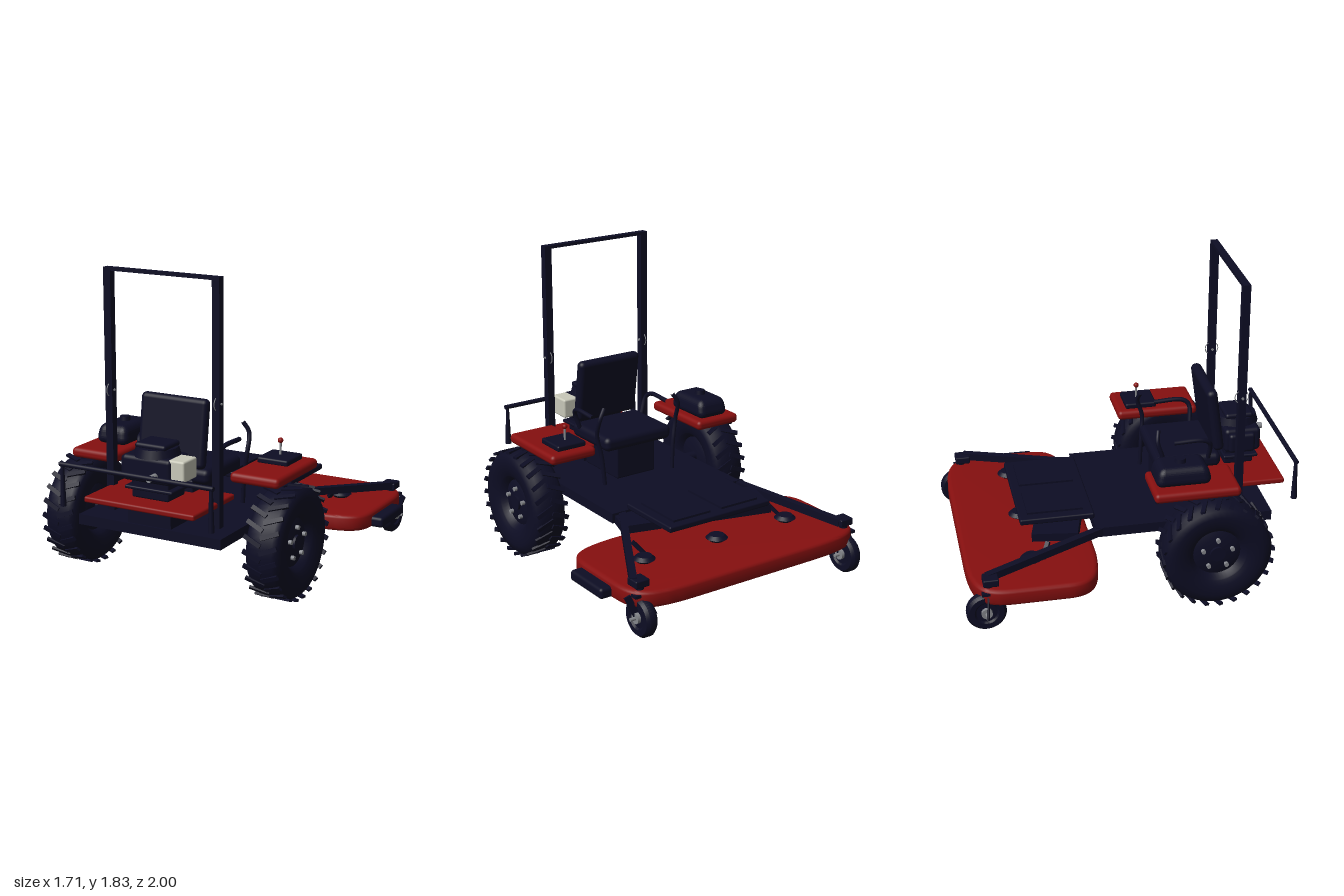
import * as THREE from 'three';
import { toCreasedNormals } from 'three/addons/utils/BufferGeometryUtils.js';
import { RoundedBoxGeometry } from 'three/addons/geometries/RoundedBoxGeometry.js';

const mat = (name, color) => {
  const m = new THREE.MeshStandardMaterial({ color });
  m.name = name;
  return m;
};
const V = (x, y, z) => new THREE.Vector3(x, y, z);

export function createModel() {
  const model = new THREE.Group();
  model.name = 'rideOnMower';
  const body = new THREE.Group();
  body.name = 'mowerBody';
  body.position.x = -0.035; // the side chute shifts the centre line
  model.add(body);

  const navy = mat('navy', 0x0d0d24), red = mat('red', 0x860f0f);
  const cream = mat('cream', 0xc9c9ba), steel = mat('steel', 0x85878c);

  const add = (name, geo, m, x = 0, y = 0, z = 0, parent = body) => {
    const mesh = new THREE.Mesh(geo, m);
    mesh.name = name;
    mesh.position.set(x, y, z);
    parent.add(mesh);
    return mesh;
  };
  // Box given by its limits, optionally with rounded edges
  const box = (name, m, x0, x1, y0, y1, z0, z1, r = 0) => {
    const s = [x1 - x0, y1 - y0, z1 - z0];
    const geo = r ? new RoundedBoxGeometry(...s, 3, r) : new THREE.BoxGeometry(...s);
    return add(name, geo, m, (x0 + x1) / 2, (y0 + y1) / 2, (z0 + z1) / 2);
  };
  const cyl = (name, m, r0, r1, h, x, y, z, axis = 'y', parent = body) => {
    const geo = new THREE.CylinderGeometry(r0, r1, h, 24);
    if (axis === 'x') geo.rotateZ(Math.PI / 2);
    if (axis === 'z') geo.rotateX(Math.PI / 2);
    return add(name, geo, m, x, y, z, parent);
  };
  const tube = (name, m, pts, r) =>
    add(name, new THREE.TubeGeometry(new THREE.CatmullRomCurve3(pts), 28, r, 10), m);
  // Straight rectangular bar between two points
  const beam = (name, m, a, b, w, h) => {
    const mesh = add(name, new THREE.BoxGeometry(w, h, a.distanceTo(b)), m);
    mesh.position.copy(a).add(b).multiplyScalar(0.5);
    mesh.lookAt(b);
    return mesh;
  };
  // Lathe profile of [radius, offset] pairs, turned about the x axis
  const wheelGeo = (pts) => toCreasedNormals(new THREE.LatheGeometry(
    pts.map(([r, t]) => new THREE.Vector2(r, t)), 48).rotateZ(-Math.PI / 2), 0.7);

  // Cutting deck
  const s = new THREE.Shape();
  s.moveTo(0.81, 0.42);
  s.lineTo(0.81, 0.72);
  s.bezierCurveTo(0.81, 0.92, 0.74, 0.975, 0.4, 0.975);
  s.lineTo(-0.4, 0.975);
  s.bezierCurveTo(-0.74, 0.975, -0.81, 0.92, -0.81, 0.72);
  s.lineTo(-0.81, 0.42);
  s.bezierCurveTo(-0.81, 0.25, -0.7, 0.22, -0.48, 0.205);
  s.lineTo(0.48, 0.205);
  s.bezierCurveTo(0.7, 0.22, 0.81, 0.25, 0.81, 0.42);
  const deckGeo = new THREE.ExtrudeGeometry(s, {
    depth: 0.06, bevelThickness: 0.02, bevelSize: 0.025, bevelOffset: -0.025, bevelSegments: 3, curveSegments: 16,
  }).rotateX(-Math.PI / 2);
  add('cuttingDeck', toCreasedNormals(deckGeo, 0.6), red, 0, 0.2, 0);
  box('dischargeChute', navy, 0.77, 0.88, 0.185, 0.25, -0.71, -0.39, 0.02);
  box('bladeBar', steel, -0.74, 0.74, 0.17, 0.178, -0.605, -0.575);
  for (const x of [-0.51, 0, 0.51]) {
    cyl('spindlePulley', navy, 0.045, 0.065, 0.02, x, 0.307, -0.59);
    cyl('spindleBase', navy, 0.065, 0.04, 0.02, x, 0.288, -0.59);
    cyl('spindleBolt', steel, 0.015, 0.015, 0.03, x, 0.178, -0.59);
  }

  // Chassis with a sloping nose, foot plate and mats
  box('chassis', navy, -0.465, 0.465, 0.36, 0.42, -0.2, 0.855);
  beam('chassisNose', navy, V(0, 0.39, -0.19), V(0, 0.37, -0.46), 0.93, 0.05);
  box('footPlate', navy, -0.36, 0.36, 0.424, 0.46, -0.63, -0.19, 0.01);
  for (const x of [-0.17, 0.17]) box('footMat', navy, x - 0.13, x + 0.13, 0.46, 0.472, -0.58, -0.25);

  // Seat on its pedestal
  box('seatPedestal', navy, -0.14, 0.14, 0.42, 0.64, 0.24, 0.6, 0.01);
  box('seatCushion', navy, -0.24, 0.24, 0.62, 0.71, 0.2, 0.6, 0.035);
  const back = box('seatBack', navy, -0.218, 0.218, 0.71, 1.11, 0.535, 0.6, 0.03);
  back.rotation.x = -0.14;

  // Roll bar
  box('rollBarTop', navy, -0.37, 0.37, 1.812, 1.83, 0.656, 0.7);

  // Engine plate and engine
  box('enginePlate', red, -0.358, 0.358, 0.535, 0.57, 0.5, 0.96, 0.012);
  box('engineMount', navy, -0.14, 0.14, 0.42, 0.54, 0.62, 0.84);
  box('engineBase', navy, -0.12, 0.12, 0.57, 0.68, 0.65, 0.83, 0.01);
  box('engineFlange', navy, -0.155, 0.155, 0.62, 0.64, 0.64, 0.85, 0.008);
  box('engineBlock', navy, -0.17, 0.15, 0.67, 0.82, 0.64, 0.86, 0.025);
  box('engineSideCover', navy, -0.2, -0.15, 0.68, 0.8, 0.66, 0.82, 0.02);
  cyl('engineShroud', navy, 0.12, 0.135, 0.05, 0, 0.838, 0.745);
  box('engineCowl', navy, -0.1, 0.1, 0.855, 0.89, 0.66, 0.83, 0.017);
  box('airFilter', cream, 0.125, 0.23, 0.7, 0.82, 0.7, 0.845, 0.012);
  cyl('exhaust', steel, 0.018, 0.018, 0.08, 0.055, 0.72, 0.89, 'z');

  // Rear bar with hanging handles
  cyl('rearBar', navy, 0.014, 0.014, 0.99, 0, 0.747, 0.983, 'x');

  // Tank with tapered top, and control console
  const tankGeo = new RoundedBoxGeometry(0.225, 0.115, 0.34, 4, 0.045);
  const p = tankGeo.attributes.position;
  for (let i = 0; i < p.count; i++) {
    const k = 1 - 0.16 * (p.getY(i) / 0.115 + 0.5);
    p.setX(i, p.getX(i) * k);
    p.setZ(i, p.getZ(i) * k);
  }
  tankGeo.computeVertexNormals();
  add('fuelTank', tankGeo, navy, -0.513, 0.782, 0.285);
  cyl('fuelCap', navy, 0.03, 0.034, 0.03, -0.515, 0.85, 0.28);
  box('controlConsole', navy, 0.415, 0.61, 0.72, 0.757, 0.155, 0.35, 0.012);
  cyl('leverStick', steel, 0.007, 0.007, 0.09, 0.51, 0.79, 0.24);
  add('leverKnob', new THREE.SphereGeometry(0.016, 16, 12), red, 0.51, 0.84, 0.24);

  // Shared wheel geometries
  const tyreGeo = wheelGeo([[0.17, -0.085], [0.2, -0.1], [0.26, -0.105], [0.3, -0.095], [0.32, -0.07],
    [0.322, 0], [0.32, 0.07], [0.3, 0.095], [0.26, 0.105], [0.2, 0.1], [0.17, 0.085]]);
  const rimGeo = wheelGeo([[0, -0.06], [0.1, -0.06], [0.14, -0.045], [0.165, -0.08], [0.18, -0.085],
    [0.18, 0.085], [0.165, 0.08], [0.14, 0.045], [0.1, 0.06], [0, 0.06]]);
  const casterGeo = wheelGeo([[0, -0.025], [0.06, -0.025], [0.07, -0.035], [0.1, -0.036], [0.115, -0.018],
    [0.115, 0.018], [0.1, 0.036], [0.07, 0.035], [0.06, 0.025], [0, 0.025]]);
  const lugGeo = new THREE.BoxGeometry(0.115, 0.014, 0.026);

  for (const side of [-1, 1]) {
    // Drive wheel with chevron tread and five bolts
    const wheel = new THREE.Group();
    wheel.name = 'driveWheel';
    wheel.position.set(side * 0.665, 0.33, 0.46);
    body.add(wheel);
    add('tyre', tyreGeo, navy, 0, 0, 0, wheel);
    add('rim', rimGeo, navy, 0, 0, 0, wheel);
    for (let i = 0; i < 48; i++) {
      const a = (i / 48) * Math.PI * 2, hand = i % 2 ? 1 : -1;
      const lug = add('treadLug', lugGeo, navy, hand * 0.05, Math.cos(a) * 0.322, Math.sin(a) * 0.322, wheel);
      lug.rotation.set(a, hand * 0.4, 0, 'XYZ');
    }
    for (let i = 0; i < 5; i++) {
      const a = (i / 5) * Math.PI * 2;
      cyl('wheelBolt', steel, 0.013, 0.013, 0.03, side * 0.065, Math.cos(a) * 0.09, Math.sin(a) * 0.09, 'x', wheel);
    }
    cyl('hub', navy, 0.045, 0.045, 0.02, side * 0.065, 0, 0, 'x', wheel);
    cyl('axle', navy, 0.03, 0.03, 0.2, side * 0.53, 0.345, 0.46, 'x');

    // Front caster, its fork and carrying arm
    add('casterWheel', casterGeo, navy, side * 0.73, 0.12, -0.885);
    cyl('casterHub', steel, 0.032, 0.032, 0.09, side * 0.73, 0.12, -0.885, 'x');
    for (const d of [-0.05, 0.05]) {
      beam('casterFork', navy, V(side * 0.73 + d, 0.1, -0.885), V(side * 0.73 + d, 0.26, -0.865), 0.01, 0.04);
    }
    box('forkCrown', navy, side * 0.73 - 0.055, side * 0.73 + 0.055, 0.245, 0.262, -0.91, -0.83);
    cyl('casterPivot', navy, 0.025, 0.025, 0.09, side * 0.73, 0.29, -0.865);
    box('pivotBlock', navy, side * 0.73 - 0.045, side * 0.73 + 0.045, 0.295, 0.34, -0.9, -0.81, 0.008);
    cyl('forkBolt', steel, 0.01, 0.01, 0.15, side * 0.73, 0.12, -0.885, 'x');
    beam('casterArm', navy, V(side * 0.42, 0.395, -0.18), V(side * 0.73, 0.32, -0.86), 0.042, 0.045);
    beam('deckLink', navy, V(side * 0.49, 0.28, -0.53), V(side * 0.49, 0.37, -0.48), 0.025, 0.02);

    // Fender, roll bar post with pin ring, and rear handle
    box('fender', red, side * 0.53 - 0.154, side * 0.53 + 0.154, 0.665, 0.725, 0.1, 0.605, 0.025);
    box('rollBarPost', navy, side * 0.348 - 0.023, side * 0.348 + 0.023, 0.42, 1.83, 0.656, 0.7);
    const ring = add('pinRing', new THREE.TorusGeometry(0.04, 0.003, 8, 32), steel, side * 0.348, 1.13, 0.678);
    ring.rotation.y = Math.PI / 2;
    cyl('postPin', steel, 0.008, 0.008, 0.056, side * 0.348, 1.13, 0.678, 'x');
    cyl('rearHandle', navy, 0.01, 0.018, 0.24, side * 0.48, 0.622, 0.983);

    // Steering lever and armrest
    tube('steeringLever', navy, [V(side * 0.25, 0.42, 0.21), V(side * 0.265, 0.6, 0.22), V(side * 0.29, 0.74, 0.23),
      V(side * 0.285, 0.85, 0.2), V(side * 0.25, 0.91, 0.21)], 0.013);
    tube('armrest', navy, [V(side * 0.23, 0.69, 0.52), V(side * 0.265, 0.8, 0.52), V(side * 0.275, 0.83, 0.48),
      V(side * 0.275, 0.83, 0.3)], 0.014);
  }
  return model;
}
